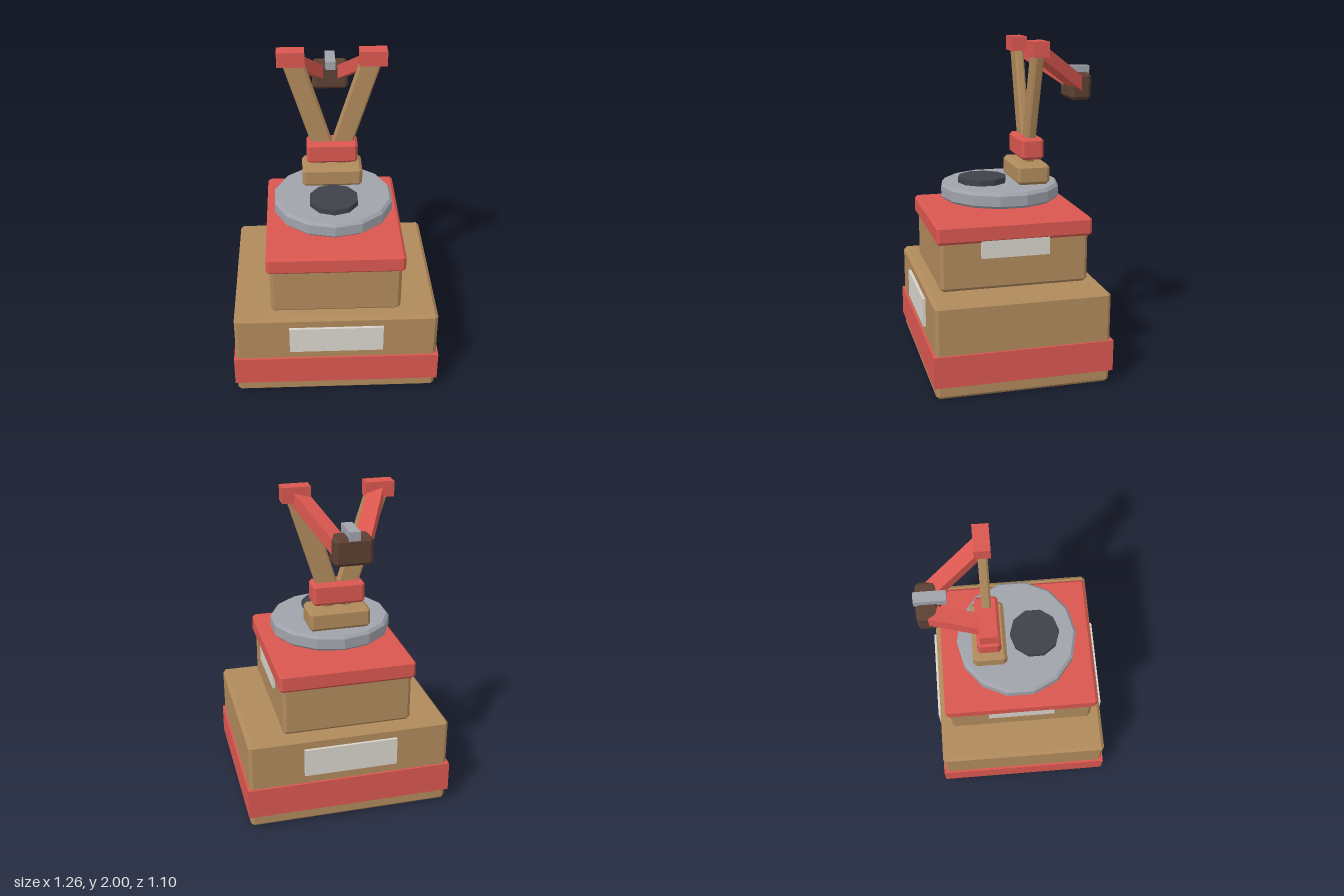
import * as THREE from 'three';
import { ConvexGeometry } from 'three/addons/geometries/ConvexGeometry.js';

const mat = (name, color) => {
  const m = new THREE.MeshStandardMaterial({ color });
  m.name = name;
  return m;
};

// Box with flat chamfered edges, as the hull of its 24 corners
function chamferBox(w, h, d, c) {
  const pts = [];
  const [x, y, z] = [w / 2, h / 2, d / 2];
  for (const sx of [-1, 1]) for (const sy of [-1, 1]) for (const sz of [-1, 1]) {
    pts.push(
      new THREE.Vector3(sx * x, sy * (y - c), sz * (z - c)),
      new THREE.Vector3(sx * (x - c), sy * y, sz * (z - c)),
      new THREE.Vector3(sx * (x - c), sy * (y - c), sz * z));
  }
  return new ConvexGeometry(pts);
}

// Faceted disc turned from a profile of [radius, height] pairs
function facetedDisc(profile, sides) {
  const g = new THREE.LatheGeometry(profile.map(p => new THREE.Vector2(...p)), sides).toNonIndexed();
  g.computeVertexNormals();
  return g;
}

export function createModel() {
  const group = new THREE.Group();
  const tan = mat('tan', 0xb08a5c);
  const red = mat('red', 0xd9574f);
  const grey = mat('grey', 0xa0a3ab);
  const dark = mat('charcoal', 0x3e4249);
  const brown = mat('brown', 0x5c4033);
  const pale = mat('pale plate', 0xd8d4cc);

  const add = (name, geometry, material, x = 0, y = 0, z = 0) => {
    const mesh = new THREE.Mesh(geometry, material);
    mesh.name = name;
    mesh.position.set(x, y, z);
    group.add(mesh);
    return mesh;
  };

  // Box given by its ranges, chamfered when c > 0
  const block = (name, material, [x0, x1], [y0, y1], [z0, z1], c = 0) => {
    const size = [x1 - x0, y1 - y0, z1 - z0];
    const g = c ? chamferBox(...size, c) : new THREE.BoxGeometry(...size);
    return add(name, g, material, (x0 + x1) / 2, (y0 + y1) / 2, (z0 + z1) / 2);
  };

  // Beam running between two points
  const beam = (name, material, from, to, w, h, c = 0) => {
    const a = new THREE.Vector3(...from), b = new THREE.Vector3(...to);
    const len = a.distanceTo(b);
    const g = c ? chamferBox(w, h, len, c) : new THREE.BoxGeometry(w, h, len);
    const mid = a.clone().add(b).multiplyScalar(0.5);
    add(name, g, material, mid.x, mid.y, mid.z).lookAt(b);
  };

  // Stepped base
  block('base', tan, [-0.617, 0.617], [0, 0.565], [-0.513, 0.533], 0.02);
  block('baseBand', red, [-0.63, 0.63], [0.08, 0.268], [-0.527, 0.547]);
  block('upperBase', tan, [-0.393, 0.393], [0.565, 0.9], [-0.44, 0.46], 0.02);
  block('upperBaseCap', red, [-0.412, 0.412], [0.855, 0.97], [-0.46, 0.48], 0.017);

  // Plates on the front, back and both sides
  block('frontPlate', pale, [-0.285, 0.285], [0.325, 0.5], [0.52, 0.55]);
  block('backPlate', pale, [-0.285, 0.285], [0.325, 0.5], [-0.53, -0.5]);
  for (const s of [-1, 1]) {
    const xs = [s * 0.385, s * 0.407].sort((a, b) => a - b);
    block('sidePlate', pale, xs, [0.76, 0.9], [-0.196, 0.217]);
  }

  // Turntable and its dark hub
  add('turntable', facetedDisc([[0, 1.035], [0.35, 1.035], [0.366, 1.051],
    [0.366, 1.112], [0.35, 1.13], [0, 1.13]], 14), grey, 0, 0, 0.01);
  add('turntableHub', facetedDisc([[0, 1.12], [0.15, 1.12], [0.15, 1.165], [0, 1.165]], 10),
    dark, 0, 0, 0.12);

  // Mast foot and collar
  block('mastFoot', tan, [-0.185, 0.185], [1.13, 1.255], [-0.262, -0.058], 0.02);
  block('mastCollar', red, [-0.156, 0.156], [1.278, 1.41], [-0.23, -0.09], 0.017);

  // Forked mast, caps and the arms that carry the rear weight
  for (const s of [-1, 1]) {
    beam('forkLeg', tan, [s * 0.02, 1.26, -0.159], [s * 0.247, 1.977, -0.159], 0.055, 0.124, 0.011);
    const xs = [s * 0.16, s * 0.324].sort((a, b) => a - b);
    block('forkCap', red, xs, [1.905, 1.995], [-0.206, -0.114]);
    beam('rearArm', red, [s * 0.232, 1.935, -0.16], [s * 0.062, 1.715, -0.475], 0.09, 0.075);
  }

  // Rear weight with its clip
  block('rearWeight', brown, [-0.112, 0.112], [1.626, 1.788], [-0.54, -0.41], 0.02);
  block('weightClip', grey, [-0.031, 0.031], [1.775, 1.827], [-0.55, -0.37]);

  return group;
}
